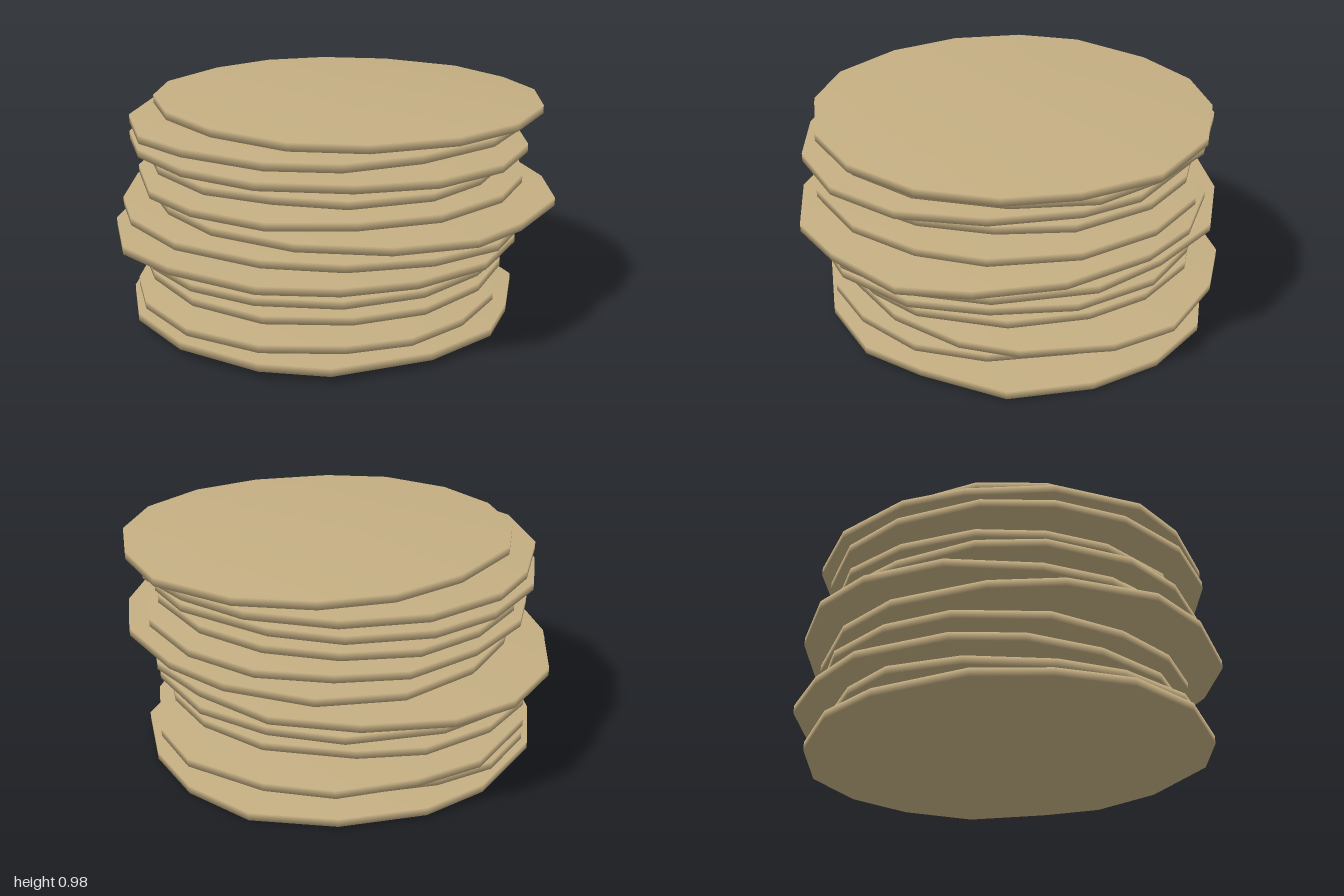
import * as THREE from 'three';

const SIDES = 16;
const THICKNESS = 0.036;

// Each disc, top to bottom: x range, y range, z range, tilt along x, tilt along z
const DISCS = [
  [-0.78, 0.95, 0.925, 0.98, -0.76, 0.93, -0.013, -0.018],
  [-0.87, 0.88, 0.858, 0.905, -0.86, 0.865, 0.005, 0.007],
  [-0.875, 0.84, 0.782, 0.825, -0.855, 0.94, 0, 0.007],
  [-0.78, 0.82, 0.69, 0.76, -0.8, 0.82, 0.015, 0.007],
  [-0.84, 0.87, 0.613, 0.667, -0.805, 0.9, 0.005, 0.01],
  [-0.8, 0.91, 0.525, 0.59, -0.785, 1.0, 0.003, 0.005],
  [-0.855, 0.865, 0.445, 0.497, -1.0, 0.93, 0, -0.008],
  [-0.95, 0.85, 0.36, 0.43, -0.9, 0.9, -0.02, 0],
  [-0.81, 0.825, 0.268, 0.325, -0.88, 0.81, 0.01, 0],
  [-0.78, 0.95, 0.17, 0.228, -0.92, 0.77, -0.018, -0.008],
  [-0.86, 0.775, 0.085, 0.14, -0.88, 0.81, 0.005, 0],
  [-0.895, 0.915, 0, 0.078, -0.89, 0.88, -0.03, 0],
];

function seeded(seed) {
  let s = seed;
  return () => (s = (s * 16807) % 2147483647) / 2147483647;
}

// Stretch a list of values so that it spans exactly lo..hi
function fit(values, lo, hi) {
  const a = Math.min(...values), b = Math.max(...values);
  return values.map((v) => lo + ((v - a) / (b - a)) * (hi - lo));
}

function discGeometry([x0, x1, y0, y1, z0, z1, tiltX, tiltZ], rand) {
  // Uneven, gently warped rim
  const phase = rand() * 6.28;
  let xs = [], ys = [], zs = [];
  for (let i = 0; i < SIDES; i++) {
    const a = ((i + (rand() - 0.5) * 0.25) / SIDES) * Math.PI * 2;
    const r = 1 + (rand() - 0.5) * 0.04;
    xs.push(r * Math.sin(a));
    zs.push(r * Math.cos(a));
    ys.push(tiltX * Math.sin(a) + tiltZ * Math.cos(a) +
      0.007 * Math.sin(2 * a + phase) + 0.004 * Math.sin(3 * a + phase * 2));
  }
  xs = fit(xs, x0, x1);
  ys = fit(ys, y0, y1 - THICKNESS);
  zs = fit(zs, z0, z1);
  const mean = (v) => v.reduce((s, n) => s + n, 0) / SIDES;

  // Rings: lower rim, upper rim, then the two cap centres
  const pos = [], index = [];
  for (const lift of [0, THICKNESS]) {
    for (let i = 0; i < SIDES; i++) pos.push(xs[i], ys[i] + lift, zs[i]);
  }
  const low = SIDES * 2, high = low + 1;
  pos.push(mean(xs), mean(ys), mean(zs));
  pos.push(mean(xs), mean(ys) + THICKNESS, mean(zs));
  for (let i = 0; i < SIDES; i++) {
    const j = (i + 1) % SIDES;
    index.push(i, j, SIDES + j, i, SIDES + j, SIDES + i);
    index.push(high, SIDES + i, SIDES + j);
    index.push(low, j, i);
  }
  const geo = new THREE.BufferGeometry();
  geo.setAttribute('position', new THREE.Float32BufferAttribute(pos, 3));
  geo.setIndex(index);
  geo.computeVertexNormals();
  return geo;
}

export function createModel() {
  const model = new THREE.Group();
  model.name = 'flatbreadStack';
  const material = new THREE.MeshStandardMaterial({ color: 0xc4ae82 });
  const rand = seeded(4711);
  DISCS.forEach((disc, i) => {
    const mesh = new THREE.Mesh(discGeometry(disc, rand), material);
    mesh.name = `flatbread${i + 1}`;
    model.add(mesh);
  });
  return model;
}
